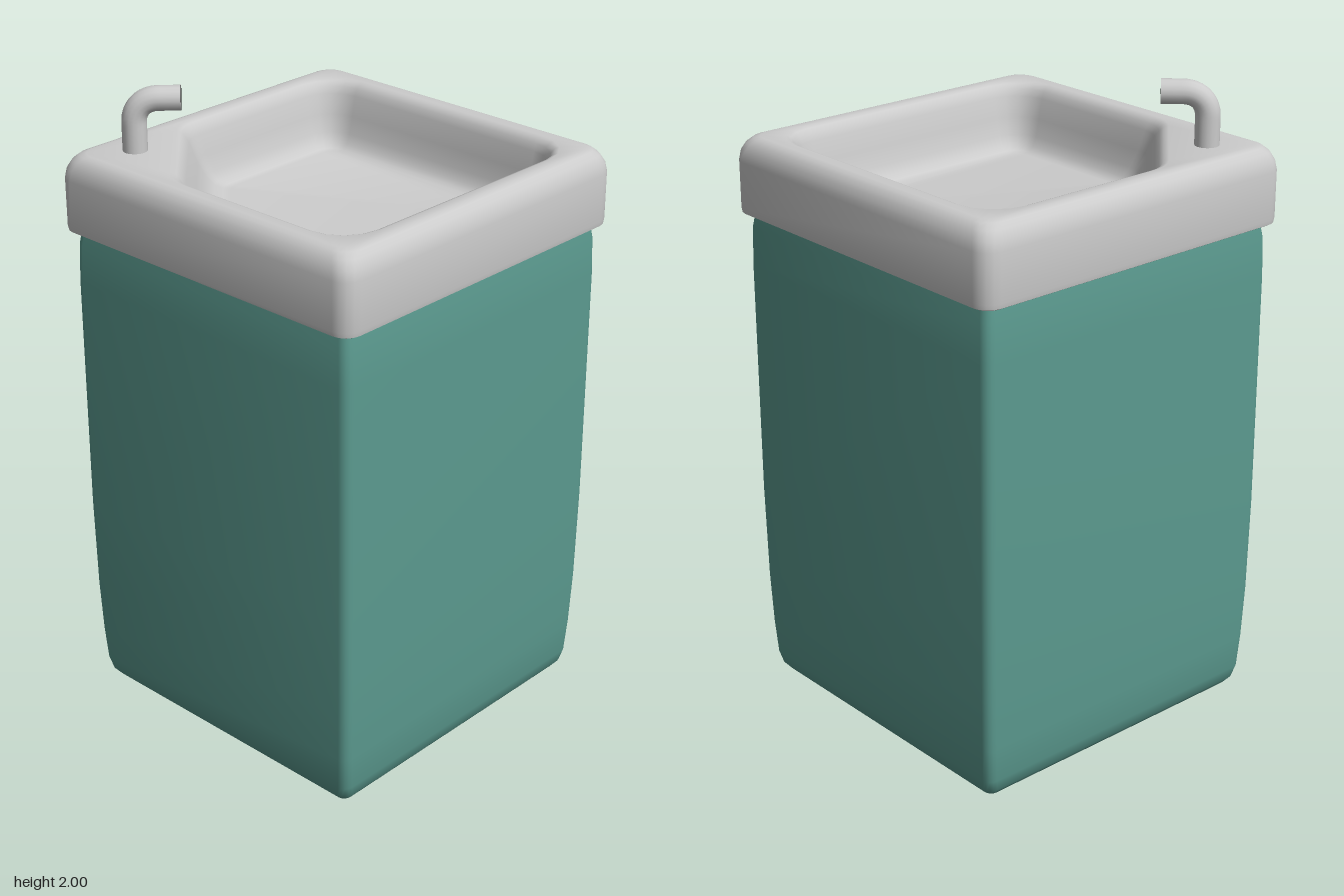
import * as THREE from 'three';
import { toCreasedNormals } from 'three/addons/utils/BufferGeometryUtils.js';

const STEPS = 4; // segments per corner arc

// Rounded square of half-width h; cut bevels the back corner on the -x side.
function roundedSquare(h, r, cut, y) {
  const k = h - r;
  const arcs = [
    [k, k, 0, 90], [-k, k, 90, 180],
    [-k, -k + cut, 180, 225], [-k + cut, -k, 225, 270],
    [k, -k, 270, 360],
  ];
  return arcs.flatMap(([cx, cz, from, to]) =>
    Array.from({ length: STEPS + 1 }, (_, i) => {
      const a = THREE.MathUtils.degToRad(from + (to - from) * i / STEPS);
      return new THREE.Vector3(cx + r * Math.cos(a), y, cz + r * Math.sin(a));
    }));
}

// Skin a stack of rings that share one point count.
function loft(rings) {
  const n = rings[0].length;
  const index = [];
  for (let i = 0; i < rings.length - 1; i++) {
    for (let j = 0; j < n; j++) {
      const a = i * n + j, b = i * n + (j + 1) % n;
      index.push(a, a + n, b, b, a + n, b + n);
    }
  }
  const geometry = new THREE.BufferGeometry().setFromPoints(rings.flat());
  geometry.setIndex(index);
  return toCreasedNormals(geometry, 0.75);
}

export function createModel() {
  const model = new THREE.Group();
  const grey = new THREE.MeshStandardMaterial({ color: 0xcccccc, side: THREE.DoubleSide });
  const green = new THREE.MeshStandardMaterial({ color: 0x5b9a8f, side: THREE.DoubleSide });
  const black = new THREE.MeshStandardMaterial({ color: 0x0a0a0a, side: THREE.DoubleSide });

  const add = (name, geometry, material, parent = model) => {
    const mesh = new THREE.Mesh(geometry, material);
    mesh.name = name;
    parent.add(mesh);
    return mesh;
  };

  // Cabinet: rounded foot, nearly straight walls, open under the basin
  const cabinet = [
    [0, 0, 0], [0.48, 0.02, 0], [0.505, 0.025, 0.008], [0.523, 0.03, 0.03],
    [0.533, 0.03, 0.07], [0.54, 0.03, 0.18], [0.546, 0.03, 0.35],
    [0.55, 0.03, 0.65], [0.55, 0.03, 1.4], [0.547, 0.03, 1.52], [0.535, 0.03, 1.6],
  ];
  add('cabinet', loft(cabinet.map(([h, r, y]) => roundedSquare(h, r, 0, y))), green);

  // Basin: outer skirt, rim, sunken bowl and floor around the drain hole
  const skirt = [
    [0.53, 0.03, 1.568], [0.565, 0.045, 1.565], [0.574, 0.052, 1.57], [0.577, 0.055, 1.585],
    [0.577, 0.055, 1.73], [0.572, 0.055, 1.76], [0.56, 0.055, 1.785],
    [0.545, 0.055, 1.8], [0.53, 0.055, 1.805],
  ].map(([h, r, y]) => roundedSquare(h, r, 0, y));
  const bowl = [
    [0.5, 0.245, 1.805], [0.487, 0.248, 1.8], [0.476, 0.25, 1.787], [0.467, 0.255, 1.765],
    [0.455, 0.27, 1.7], [0.443, 0.29, 1.645], [0.43, 0.305, 1.615],
    [0.415, 0.32, 1.6], [0.4, 0.33, 1.595],
  ].map(([h, cut, y]) => roundedSquare(h, h - 0.36, cut, y));
  const drainX = 0.337, drainZ = 0.322, pipeRadius = 0.037;
  const drainRing = roundedSquare(pipeRadius, pipeRadius, 0, 1.592);
  drainRing.forEach((p) => { p.x += drainX; p.z += drainZ; });
  add('basin', loft([...skirt, ...bowl, drainRing]), grey);

  // Dark drain seen through the hole
  const drain = add('drain', new THREE.CircleGeometry(pipeRadius + 0.004, 24), black);
  drain.rotation.x = -Math.PI / 2;
  drain.position.set(drainX, 1.53, drainZ);

  // Tap: bent pipe rising from the bevelled corner, pointing across the bowl
  const tap = new THREE.Group();
  tap.name = 'tap';
  tap.position.set(-0.403, 0, -0.426);
  tap.rotation.y = -Math.PI / 4;
  model.add(tap);
  const at = (x, y) => new THREE.Vector3(x, y, 0);
  const path = new THREE.CurvePath();
  path.add(new THREE.LineCurve3(at(0, 1.79), at(0, 1.89)));
  path.add(new THREE.CubicBezierCurve3(at(0, 1.89), at(0, 1.935), at(0.03, 1.963), at(0.075, 1.963)));
  path.add(new THREE.LineCurve3(at(0.075, 1.963), at(0.138, 1.963)));
  add('spout', new THREE.TubeGeometry(path, 24, pipeRadius, 16), grey, tap);
  const mouth = add('spoutMouth', new THREE.CircleGeometry(pipeRadius, 16), black, tap);
  mouth.rotation.y = Math.PI / 2;
  mouth.position.set(0.138, 1.963, 0);

  return model;
}
